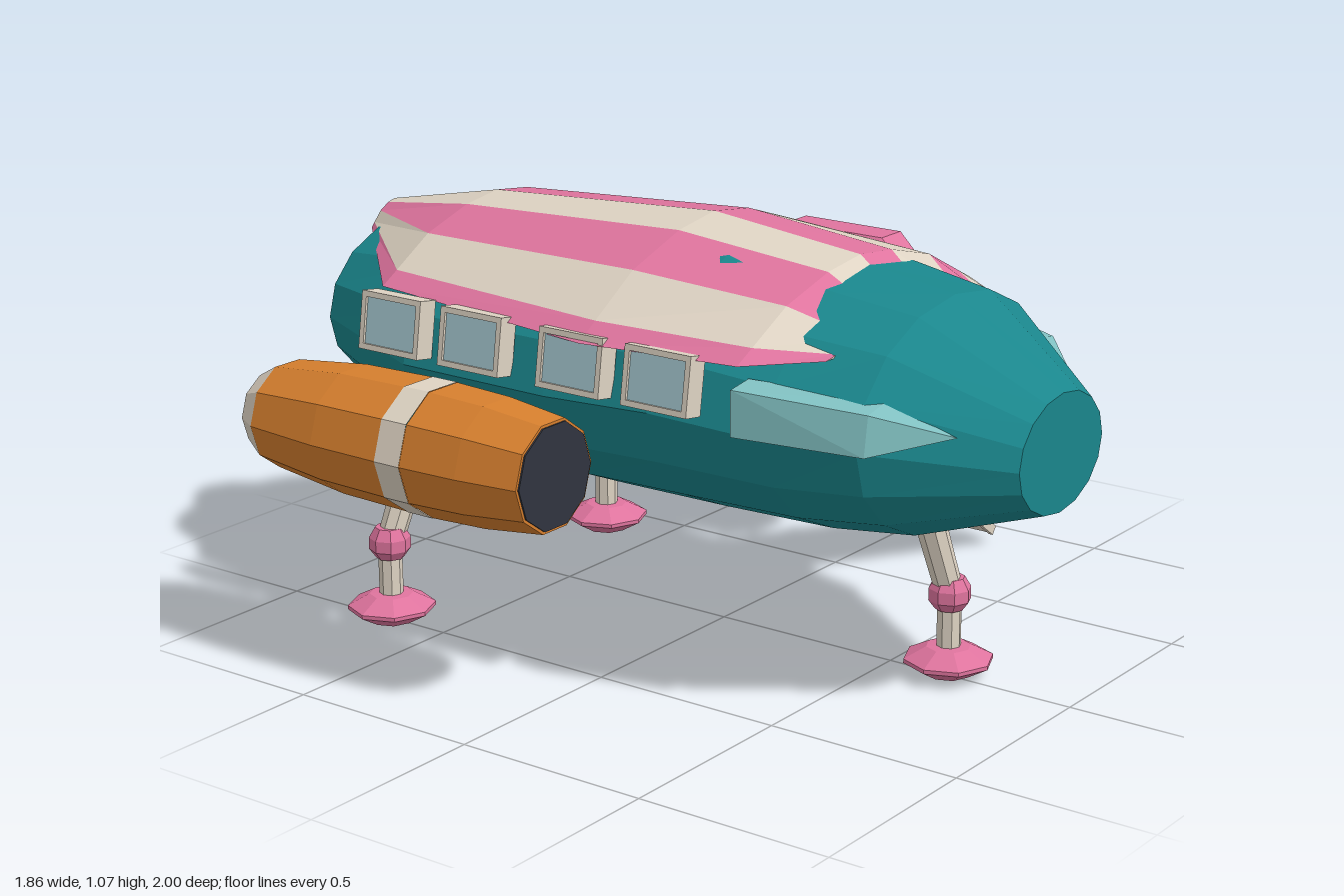
import * as THREE from 'three';
import { ConvexGeometry } from 'three/addons/geometries/ConvexGeometry.js';

const V = (x, y, z) => new THREE.Vector3(x, y, z);
const paint = (color) => new THREE.MeshStandardMaterial({ color, flatShading: true, side: THREE.DoubleSide });
const teal = paint(0x1a868c), paleTeal = paint(0x80bfc0), pink = paint(0xdf749e), cream = paint(0xded3c3);
const orange = paint(0xd67f2e), dark = paint(0x30343f), glass = paint(0xa6c8d0), tan = paint(0xb8a27c);
const CX = -0.08; // centre line of the hull

function add(parent, name, geometry, material, x = 0, y = 0, z = 0) {
  const mesh = new THREE.Mesh(geometry, material);
  mesh.name = name;
  mesh.position.set(x, y, z);
  parent.add(mesh);
  return mesh;
}

// Skin through rings listed from front to back, each running counterclockwise seen from the front
function loft(rings, { closed = true, front = false, back = false } = {}) {
  const out = [], n = rings[0].length;
  const tri = (...pts) => pts.forEach((p) => out.push(p.x, p.y, p.z));
  for (let k = 0; k < rings.length - 1; k++) {
    const a = rings[k], b = rings[k + 1];
    for (let i = 0; i < (closed ? n : n - 1); i++) {
      const j = (i + 1) % n;
      tri(a[i], b[i], b[j]);
      tri(a[i], b[j], a[j]);
    }
  }
  const first = rings[0], last = rings[rings.length - 1];
  for (let i = 1; i < n - 1; i++) {
    if (front) tri(first[0], first[i], first[i + 1]);
    if (back) tri(last[0], last[i + 1], last[i]);
  }
  const g = new THREE.BufferGeometry();
  g.setAttribute('position', new THREE.Float32BufferAttribute(out, 3));
  g.computeVertexNormals();
  return g;
}

function ellipse(n, cx, cy, z, rx, ry) {
  return Array.from({ length: n }, (_, i) => {
    const a = (i / n) * Math.PI * 2;
    return V(cx + rx * Math.cos(a), cy + ry * Math.sin(a), z);
  });
}

// Straight bar from a to b
function bar(parent, name, a, b, r, material, sides = 6, r2 = r) {
  const mesh = add(parent, name, new THREE.CylinderGeometry(r2, r, a.distanceTo(b), sides), material);
  mesh.position.copy(a).lerp(b, 0.5);
  mesh.quaternion.setFromUnitVectors(V(0, 1, 0), b.clone().sub(a).normalize());
}

function group(parent, name) {
  const g = new THREE.Group();
  g.name = name;
  parent.add(g);
  return g;
}

function buildHull(root) {
  // z, centre height, half height, half width
  const stations = [
    [1, 0.645, 0.142, 0.185], [0.71, 0.69, 0.28, 0.4], [0.5, 0.695, 0.306, 0.455], [0.2, 0.715, 0.33, 0.49],
    [-0.1, 0.705, 0.32, 0.5], [-0.55, 0.7, 0.315, 0.48], [-0.95, 0.717, 0.213, 0.31],
  ];
  const rings = stations.map(([z, cy, ry, rx]) => ellipse(16, CX, cy, z, rx, ry));
  add(root, 'hull', loft(rings, { front: true, back: true }), teal);
}

function buildCanopy(root) {
  const g = group(root, 'stripedRoof');
  // z, half width, rim height, top height
  const stations = [
    [0.6, 0.36, 0.875, 0.91], [0.45, 0.49, 0.868, 1.025], [0.03, 0.525, 0.86, 1.07],
    [-0.65, 0.435, 0.87, 1.03], [-1, 0.09, 0.9, 0.96],
  ];
  const half = [[1, 0], [0.88, 0.19], [0.61, 0.62], [0.27, 0.905]];
  const profile = [...half, [0, 1], ...half.slice().reverse().map(([x, y]) => [-x, y])];
  const rings = stations.map(([z, w, y0, y1]) => profile.map(([u, v]) => V(CX + u * w, y0 + v * (y1 - y0), z)));
  for (let i = 0; i < 8; i++) {
    const strip = rings.map((r) => [r[i], r[i + 1]]);
    add(g, 'roofStripe', loft(strip, { closed: false }), i % 2 ? pink : cream);
  }
  add(g, 'roofUnderside', loft(rings.map((r) => [r[8], r[0]]), { closed: false }), pink);
  add(g, 'roofFrontEdge', loft([rings[0]], { closed: false, front: true }), cream);
  add(g, 'roofRearEdge', loft([rings[4]], { closed: false, back: true }), cream);
}

function buildFins(root) {
  for (const s of [-1, 1]) {
    const pts = [
      [0.5, 0.705, 0.44], [0.5, 0.815, 0.44], [0.43, 0.7, 0.44], [0.43, 0.825, 0.44],
      [0.415, 0.69, 0.74], [0.4, 0.785, 0.74], [0.32, 0.7, 0.74], [0.33, 0.8, 0.74], [0.26, 0.725, 0.885],
    ].map(([x, y, z]) => V(CX + s * x, y, z));
    add(root, 'noseFin', new ConvexGeometry(pts), paleTeal);
  }
}

function buildEngine(root, x, side) {
  const g = group(root, 'engine');
  g.position.set(x, 0.595, 0);
  const shell = (name, list, mat, caps) =>
    add(g, name, loft(list.map(([z, r]) => ellipse(10, 0, 0, z, r, r)), caps), mat);
  shell('engineFrontShell', [[0.085, 0.135], [-0.08, 0.154], [-0.24, 0.16]], orange, { front: true });
  shell('engineIntake', [[0.089, 0.128], [0.08, 0.128]], dark, { front: true });
  shell('engineBand', [[-0.24, 0.161], [-0.315, 0.161]], cream);
  shell('engineRearShell', [[-0.315, 0.16], [-0.52, 0.156], [-0.735, 0.132]], orange);
  shell('engineTailRing', [[-0.735, 0.132], [-0.8, 0.095]], cream, { back: true });
  shell('exhaustRing', [[-0.79, 0.086], [-0.808, 0.086]], dark, { back: true });
  shell('exhaust', [[-0.8, 0.07], [-0.812, 0.07]], tan, { back: true });
  bar(g, 'enginePylon', V(-side * 0.1, 0, -0.42), V(-side * 0.27, 0, -0.42), 0.035, teal, 8);
}

function buildWindow(root, side, z) {
  const g = group(root, 'window');
  g.position.set(CX + side * 0.498, 0.805, z);
  g.rotation.z = side * 0.15;
  for (const s of [-1, 1]) {
    add(g, 'windowFrameRail', new THREE.BoxGeometry(0.055, 0.014, 0.185), cream, 0, s * 0.064, 0);
    add(g, 'windowFramePost', new THREE.BoxGeometry(0.055, 0.142, 0.014), cream, 0, 0, s * 0.086);
  }
  add(g, 'windowPane', new THREE.BoxGeometry(0.042, 0.13, 0.17), glass);
}

function buildDoor(root) {
  const g = group(root, 'doorway');
  const w = 0.175, h = 0.29, c = 0.045;
  const s = new THREE.Shape([
    [-w + c, -h], [w - c, -h], [w, -h + c], [w, h - c], [w - c, h], [-w + c, h], [-w, h - c], [-w, -h + c],
  ].map(([x, y]) => new THREE.Vector2(x, y)));
  const frame = new THREE.ExtrudeGeometry(s, {
    depth: 0.085, bevelEnabled: true, bevelSegments: 1, bevelSize: 0.03, bevelThickness: 0.03,
  });
  frame.rotateY(Math.PI / 2);
  add(g, 'doorFrame', frame, pink, 0.32, 0.635, 0.105);
  add(g, 'door', new THREE.BoxGeometry(0.06, 0.525, 0.305), dark, 0.411, 0.632, 0.105);
  add(g, 'doorLamp', new THREE.BoxGeometry(0.025, 0.018, 0.27), cream, 0.442, 0.868, 0.09);
}

function buildStairs(root) {
  const g = group(root, 'stairs');
  const top = V(0.445, 0.355, 0.103), end = V(0.88, 0.035, 0.103);
  const slope = Math.atan2(end.y - top.y, end.x - top.x);
  const mid = top.clone().lerp(end, 0.5);
  add(g, 'ramp', new THREE.BoxGeometry(top.distanceTo(end), 0.018, 0.29), cream, mid.x, mid.y, mid.z).rotation.z = slope;
  for (let i = 0; i < 4; i++) {
    add(g, 'step', new THREE.BoxGeometry(0.085, 0.014, 0.27), cream, 0.51 + i * 0.108, 0.335 - i * 0.08, 0.103);
  }
  for (const z of [-0.047, 0.253]) {
    add(g, 'rampEdge', new THREE.BoxGeometry(top.distanceTo(end), 0.026, 0.012), cream, mid.x, mid.y, z).rotation.z = slope;
    const rail = [[0.455, 0.36], [0.585, 0.47], [0.922, 0.21], [0.88, 0.06]].map(([x, y]) => V(x, y, z));
    for (let i = 0; i < 3; i++) bar(g, 'handrail', rail[i], rail[i + 1], 0.008, pink);
  }
}

function buildLeg(root, name, x, z, topX, topZ) {
  const g = group(root, name);
  bar(g, 'upperLeg', V(x, 0.21, z), V(topX, 0.43, topZ), 0.034, cream, 8, 0.038);
  bar(g, 'lowerLeg', V(x, 0.06, z), V(x, 0.21, z), 0.03, cream, 8);
  // knee and foot are stacks of tapered rings
  const stack = (part, pts) => add(g, part, new THREE.LatheGeometry(
    pts.map(([r, y]) => new THREE.Vector2(r, y)), 8), pink, x, 0, z);
  stack('knee', [[0, 0.17], [0.035, 0.17], [0.052, 0.193], [0.052, 0.223], [0.036, 0.25], [0, 0.25]]);
  stack('foot', [[0, 0], [0.055, 0.004], [0.11, 0.036], [0.11, 0.046], [0.055, 0.075], [0, 0.078]]);
}

export function createModel() {
  const root = new THREE.Group();
  root.name = 'spaceship';
  buildHull(root);
  buildCanopy(root);
  buildFins(root);
  buildEngine(root, CX - 0.687, -1);
  buildEngine(root, CX + 0.692, 1);
  for (const z of [-0.55, -0.3, 0, 0.25]) buildWindow(root, -1, z);
  for (const z of [-0.54, -0.295]) buildWindow(root, 1, z);
  buildDoor(root);
  buildStairs(root);
  buildLeg(root, 'frontLeg', 0.007, 0.66, -0.055, 0.63);
  buildLeg(root, 'rearRightLeg', -0.51, -0.66, -0.435, -0.63);
  buildLeg(root, 'rearLeftLeg', 0.36, -0.66, 0.28, -0.63);
  return root;
}
